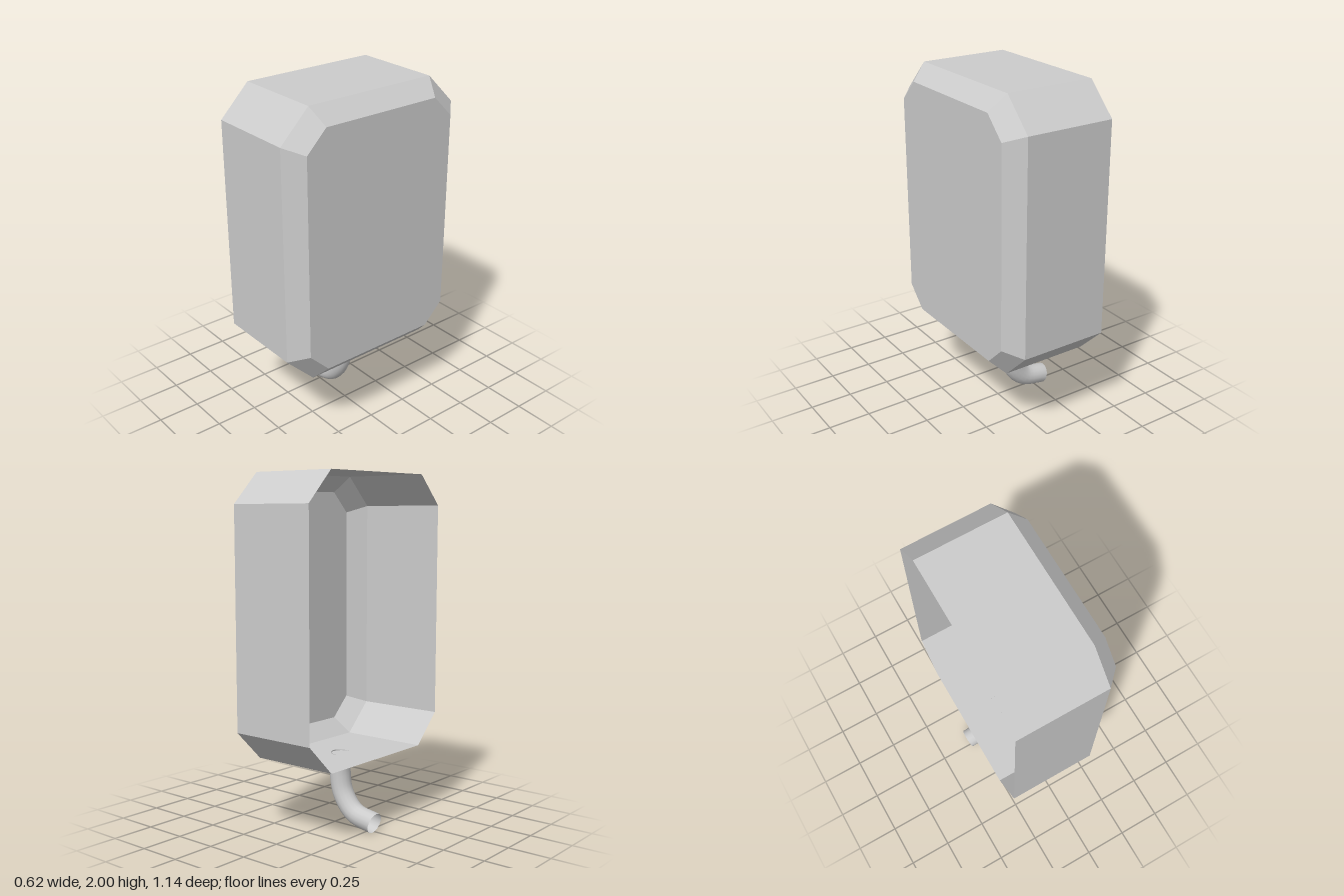
import * as THREE from 'three';

const material = new THREE.MeshStandardMaterial({ color: 0xcccccc, side: THREE.DoubleSide });
const CENTRE_Y = 1.215;

// Chamfered rectangle in the plane at x, wound counter-clockwise seen from +x
function ring(x, halfZ, halfY, cut) {
  const a = halfZ - cut, b = halfY - cut;
  return [
    [halfZ, -b], [a, -halfY], [-a, -halfY], [-halfZ, -b],
    [-halfZ, b], [-a, halfY], [a, halfY], [halfZ, b],
  ].map(([z, y]) => new THREE.Vector3(x, CENTRE_Y + y, z));
}

// Flat-faced shell through the rings, closed at the last one and open at the first
function shellGeometry(rings) {
  const points = [];
  for (let r = 0; r < rings.length - 1; r++) {
    const near = rings[r], far = rings[r + 1];
    for (let i = 0; i < near.length; i++) {
      const j = (i + 1) % near.length;
      points.push(near[i], near[j], far[j], near[i], far[j], far[i]);
    }
  }
  const cap = rings[rings.length - 1];
  for (let i = 1; i < cap.length - 1; i++) points.push(cap[0], cap[i], cap[i + 1]);
  const geometry = new THREE.BufferGeometry().setFromPoints(points);
  geometry.computeVertexNormals();
  return geometry;
}

export function createModel() {
  const model = new THREE.Group();
  model.name = 'housingWithPipe';

  // Housing: straight walls, bevelled rim and flat face, open at the back
  const housing = new THREE.Mesh(shellGeometry([
    ring(-0.306, 0.572, 0.785, 0.172),
    ring(0.213, 0.572, 0.785, 0.172),
    ring(0.304, 0.481, 0.694, 0.12),
  ]), material);
  housing.name = 'housing';
  model.add(housing);

  // Open-ended pipe bending from the housing floor towards the wall side
  const path = new THREE.CatmullRomCurve3([
    [-0.07, 0.432], [-0.06, 0.32], [-0.083, 0.198], [-0.165, 0.098], [-0.306, 0.062],
  ].map(([x, y]) => new THREE.Vector3(x, y, -0.025)));
  const pipe = new THREE.Mesh(new THREE.TubeGeometry(path, 16, 0.06, 16), material);
  pipe.name = 'pipe';
  model.add(pipe);

  return model;
}
